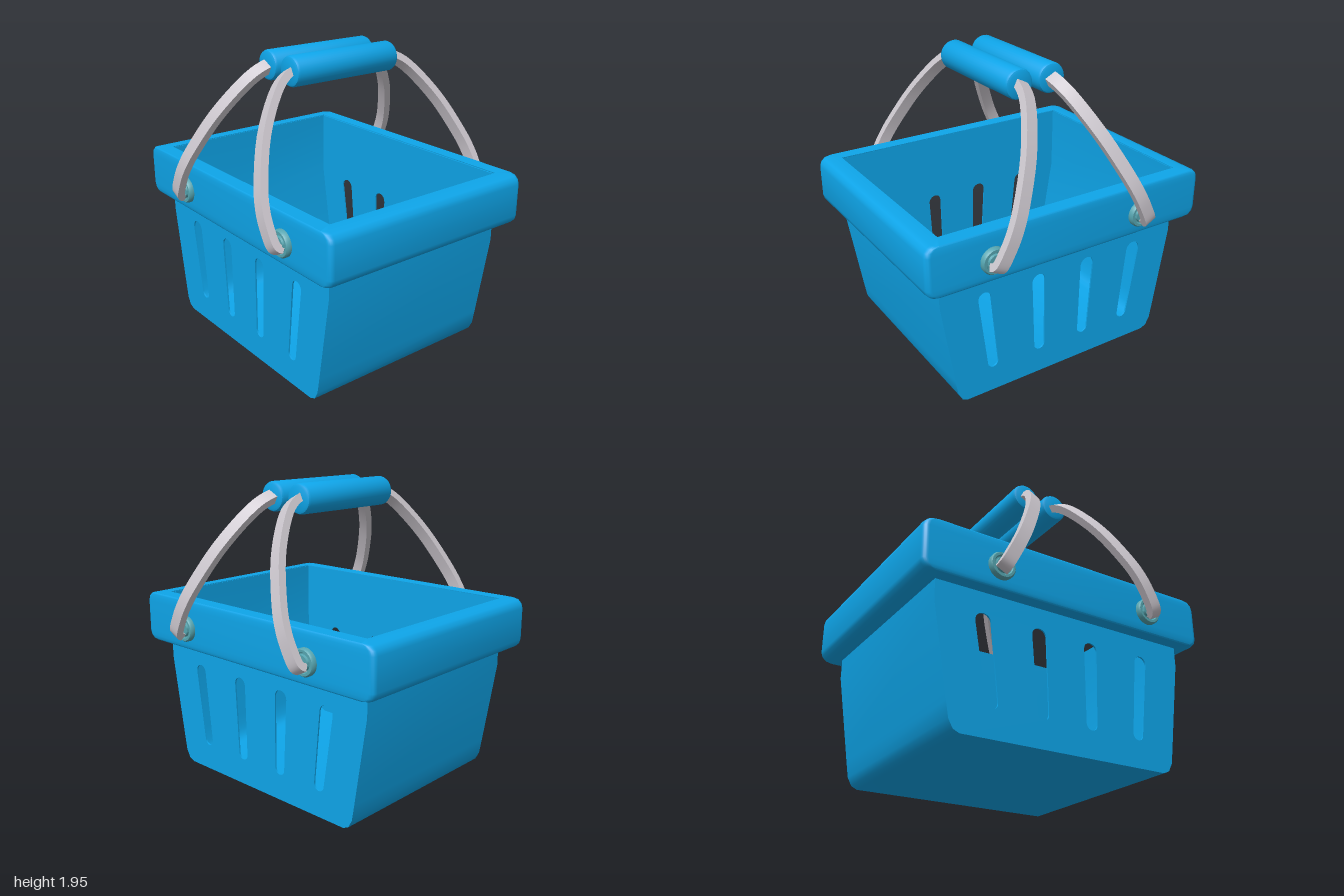
import * as THREE from 'three';
import { toCreasedNormals } from 'three/addons/utils/BufferGeometryUtils.js';

const material = (color) => new THREE.MeshStandardMaterial({ color });
const V2 = (x, y) => new THREE.Vector2(x, y);

function add(parent, name, geometry, mat) {
  const mesh = new THREE.Mesh(toCreasedNormals(geometry, 0.7), mat);
  mesh.name = name;
  parent.add(mesh);
  return mesh;
}

// Tapered slot with rounded ends, given its end centres and radii
function slot([tx, ty, tr], [bx, by, br]) {
  const tilt = Math.atan2(bx - tx, ty - by);
  const points = [];
  for (let i = 0; i <= 10; i++) {
    const a = tilt + (i / 10) * Math.PI;
    points.push(V2(tx + tr * Math.cos(a), ty + tr * Math.sin(a)));
  }
  for (let i = 0; i <= 10; i++) {
    const a = tilt + Math.PI + (i / 10) * Math.PI;
    points.push(V2(bx + br * Math.cos(a), by + br * Math.sin(a)));
  }
  return new THREE.Path(points);
}

// Rounded rectangle in plan, as [x, z] pairs
function planRing(hx, hz, r) {
  const ring = [];
  [[1, 1], [-1, 1], [-1, -1], [1, -1]].forEach(([sx, sz], q) => {
    for (let i = 0; i <= 6; i++) {
      const a = (q + i / 6) * Math.PI / 2;
      ring.push([sx * (hx - r) + r * Math.cos(a), sz * (hz - r) + r * Math.sin(a)]);
    }
  });
  return ring;
}

// Closed loop of plan rings: each section is [half x, half z, corner radius, y]
function loftRim(sections) {
  const positions = [], index = [], m = 28, n = sections.length;
  for (const [hx, hz, r, y] of sections)
    for (const [x, z] of planRing(hx, hz, r)) positions.push(x, y, z);
  for (let i = 0; i < n; i++) {
    for (let j = 0; j < m; j++) {
      const i2 = (i + 1) % n, j2 = (j + 1) % m;
      const a = i * m + j, b = i * m + j2, c = i2 * m + j, d = i2 * m + j2;
      index.push(a, b, c, b, d, c);
    }
  }
  const g = new THREE.BufferGeometry();
  g.setAttribute('position', new THREE.Float32BufferAttribute(positions, 3));
  g.setIndex(index);
  g.computeVertexNormals();
  return g;
}

// Arched strap in the plane of z (shape x) and height along the tilt (shape y)
function strapGeometry(width, thickness) {
  const half = [[0.8, -0.035], [0.835, -0.01], [0.845, 0.07], [0.84, 0.2], [0.8, 0.36],
    [0.69, 0.62], [0.53, 0.85], [0.4, 0.945], [0.25, 0.965]];
  const all = [...half, ...half.map(([z, y]) => [-z, y]).reverse()];
  const curve = new THREE.SplineCurve(all.map(([z, y]) => V2(z, y)));
  const outer = [], inner = [];
  for (let i = 0; i <= 72; i++) {
    const p = curve.getPoint(i / 72), t = curve.getTangent(i / 72);
    const n = V2(-t.y, t.x).multiplyScalar(thickness / 2);
    outer.push(p.clone().add(n));
    inner.push(p.clone().sub(n));
  }
  const g = new THREE.ExtrudeGeometry(new THREE.Shape([...outer, ...inner.reverse()]),
    { depth: width, bevelEnabled: false });
  return g.translate(0, 0, -width / 2).rotateY(-Math.PI / 2);
}

export function createModel() {
  const blue = material(0x0ea5e9), teal = material(0x56a5b0), grey = material(0xcdc8cf);
  const model = new THREE.Group();
  model.name = 'shoppingBasket';

  // Tub: tapered outline shared by the slotted panels and the wrapped side band
  const right = [[0.7, 0], [0.74, 0.018], [0.768, 0.07], [0.785, 0.17], [0.875, 0.73], [0.875, 1.18]];
  const outline = [...right.map(([x, y]) => [-x, y]).reverse(), ...right];
  const zBack = -0.655, zFront = 0.68, wall = 0.01;

  const panel = new THREE.Shape(outline.map(([x, y]) => V2(x, y)));
  panel.holes.push(
    slot([-0.565, 0.677, 0.052], [-0.505, 0.21, 0.039]),
    slot([-0.187, 0.68, 0.05], [-0.17, 0.21, 0.039]),
    slot([0.184, 0.68, 0.047], [0.17, 0.21, 0.039]),
    slot([0.573, 0.685, 0.044], [0.517, 0.21, 0.037]));
  const panelGeometry = new THREE.ExtrudeGeometry(panel, { depth: wall, bevelEnabled: false });
  add(model, 'frontPanel', panelGeometry, blue).position.z = zFront - wall;
  add(model, 'backPanel', panelGeometry, blue).position.z = zBack;

  const lining = outline.map(([x, y]) =>
    V2(x - Math.sign(x) * wall, y > 1 ? y : y + wall)).reverse();
  const band = new THREE.Shape([...outline.map(([x, y]) => V2(x, y)), ...lining]);
  add(model, 'sidesAndFloor', new THREE.ExtrudeGeometry(band,
    { depth: zFront - zBack - 0.004, bevelEnabled: false }), blue).position.z = zBack + 0.002;

  // Rim: broad collar, rounded along its outer edges
  const upper = [[0.94, 0.755, 1.185], [0.97, 0.76, 1.177], [0.992, 0.762, 1.155], [1, 0.763, 1.125]];
  const lower = upper.map(([x, z, y]) => [x, z, 2.045 - y]).reverse();
  const rim = loftRim([
    [0.87, 0.663, 0.004, 1.185],
    ...[...upper, ...lower].map(([x, z, y]) => [x, z, 0.035, y]),
    [0.87, 0.663, 0.004, 0.86],
  ]);
  add(model, 'rim', rim, blue).position.z = 0.0075;

  // Handles: two mirrored straps leaning together, each with a grip and two pivots
  const strap = strapGeometry(0.08, 0.05);
  const grip = new THREE.LatheGeometry([[0, -0.395], [0.075, -0.395], [0.089, -0.389], [0.095, -0.375],
    [0.095, 0.375], [0.089, 0.389], [0.075, 0.395], [0, 0.395]].map(([r, y]) => V2(r, y)), 32);
  grip.rotateX(Math.PI / 2);
  const pivot = new THREE.LatheGeometry([[0.085, 0], [0.085, 0.025], [0.077, 0.036], [0.062, 0.036],
    [0.056, 0.026], [0.05, 0.026], [0.046, 0.04], [0, 0.04]].map(([r, y]) => V2(r, y)), 32);
  pivot.rotateX(Math.PI / 2);

  for (const side of [-1, 1]) {
    const handle = new THREE.Group();
    handle.name = side < 0 ? 'rightHandle' : 'leftHandle';
    const pivotX = 0.035 + side * 0.54;
    const arm = add(handle, 'strap', strap, grey);
    arm.position.set(pivotX, 1, 0);
    arm.rotation.z = side * Math.atan2(0.43, 0.85);
    add(handle, 'grip', grip, blue).position.set(0.035 + side * 0.115, 1.85, 0.0125);
    add(handle, 'frontPivot', pivot, teal).position.set(pivotX, 1, 0.767);
    const back = add(handle, 'backPivot', pivot, teal);
    back.position.set(pivotX, 1, -0.752);
    back.rotation.y = Math.PI;
    model.add(handle);
  }
  return model;
}
